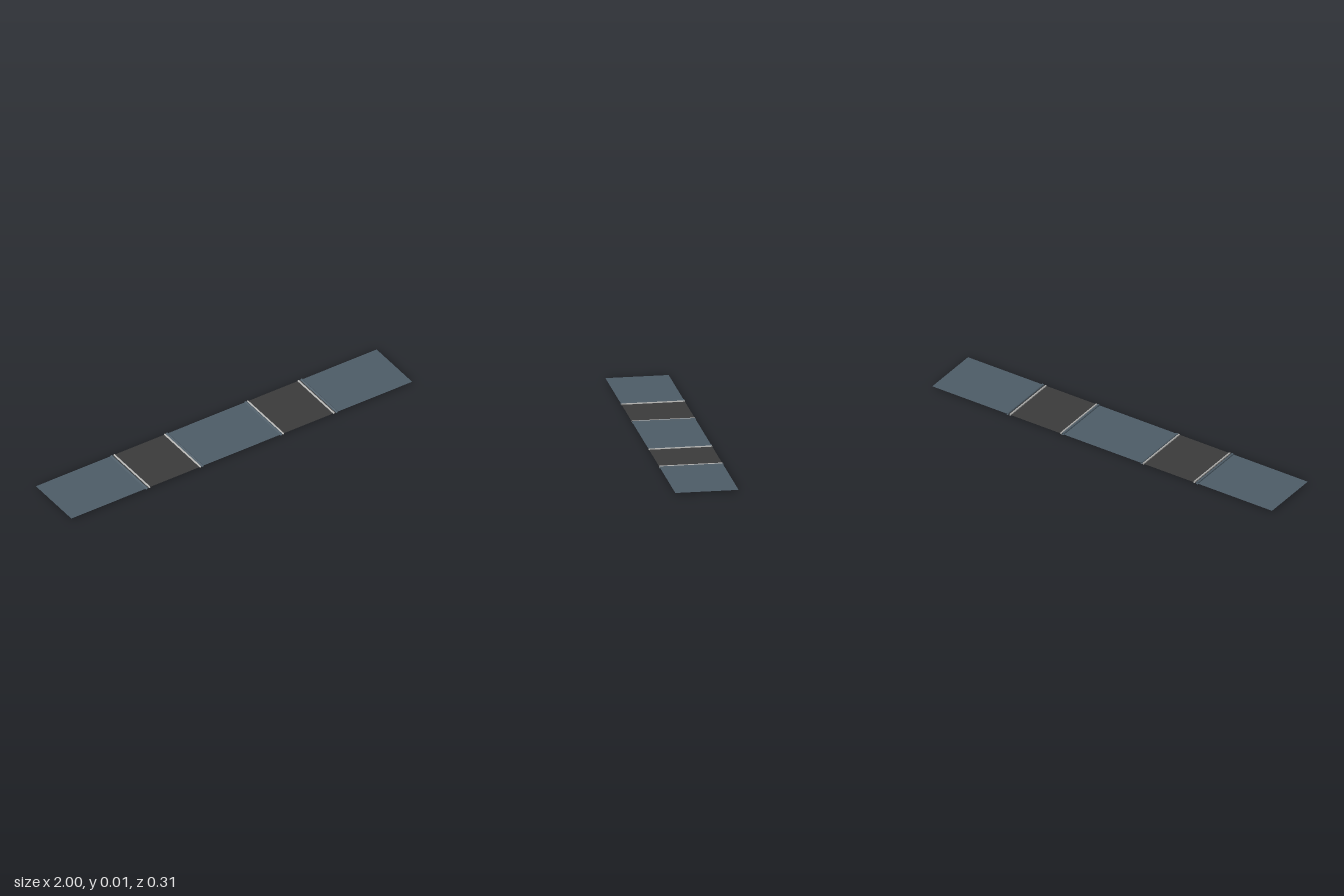
import * as THREE from 'three';

const HALF_WIDTH = 0.157;
const MID = 0.006;

// Open sheet swept along z from a profile of [x, y] points
function sweep(points) {
  const position = [];
  for (let i = 0; i < points.length - 1; i++) {
    const [ax, ay] = points[i], [bx, by] = points[i + 1];
    position.push(
      ax, ay, HALF_WIDTH, bx, by, HALF_WIDTH, bx, by, -HALF_WIDTH,
      ax, ay, HALF_WIDTH, bx, by, -HALF_WIDTH, ax, ay, -HALF_WIDTH);
  }
  const geometry = new THREE.BufferGeometry();
  geometry.setAttribute('position', new THREE.Float32BufferAttribute(position, 3));
  geometry.computeVertexNormals();
  return geometry;
}

// Hem profile rolled around a centre line
function roll(x, rx, ry) {
  const points = [];
  for (let i = 0; i <= 8; i++) {
    const a = Math.PI - i * Math.PI / 4;
    points.push([x + rx * Math.cos(a), MID + ry * Math.sin(a)]);
  }
  return points;
}

export function createModel() {
  const make = (name, color) => {
    const m = new THREE.MeshStandardMaterial({ color, side: THREE.DoubleSide });
    m.name = name;
    return m;
  };
  const slate = make('slate blue', 0x4e5d68);
  const charcoal = make('charcoal', 0x3b3b3b);
  const pale = make('pale grey', 0xb4b4b2);

  const model = new THREE.Group();
  model.name = 'foldingStrip';
  const add = (name, points, material) => {
    const mesh = new THREE.Mesh(sweep(points), material);
    mesh.name = name;
    model.add(mesh);
  };

  // Middle panel
  add('middlePanel', [[-0.226, MID], [0.226, MID]], slate);

  for (const [side, s] of [['left', 1], ['right', -1]]) {
    const flip = (points) => {
      const out = points.map(([x, y]) => [s * x, y]);
      return s < 0 ? out.reverse() : out;
    };
    // Outer and dark panels
    add(side + 'EndPanel', flip([[0.563, MID], [1, MID]]), slate);
    add(side + 'DarkPanel', flip([[0.247, MID], [0.538, MID]]), charcoal);

    // Inner seam: slate hem, then a narrow pale hem
    add(side + 'InnerHem', flip(roll(0.231, 0.007, 0.006)), slate);
    add(side + 'InnerSeam', flip(roll(0.243, 0.005, 0.005)), pale);

    // Outer seam: pale hem, joining web, then the slate hem
    add(side + 'OuterSeam', flip(roll(0.541, 0.005, 0.005)), pale);
    add(side + 'OuterWeb', flip([[0.546, MID], [0.551, MID]]), charcoal);
    add(side + 'OuterHem', flip(roll(0.558, 0.007, 0.006)), slate);
  }
  return model;
}
